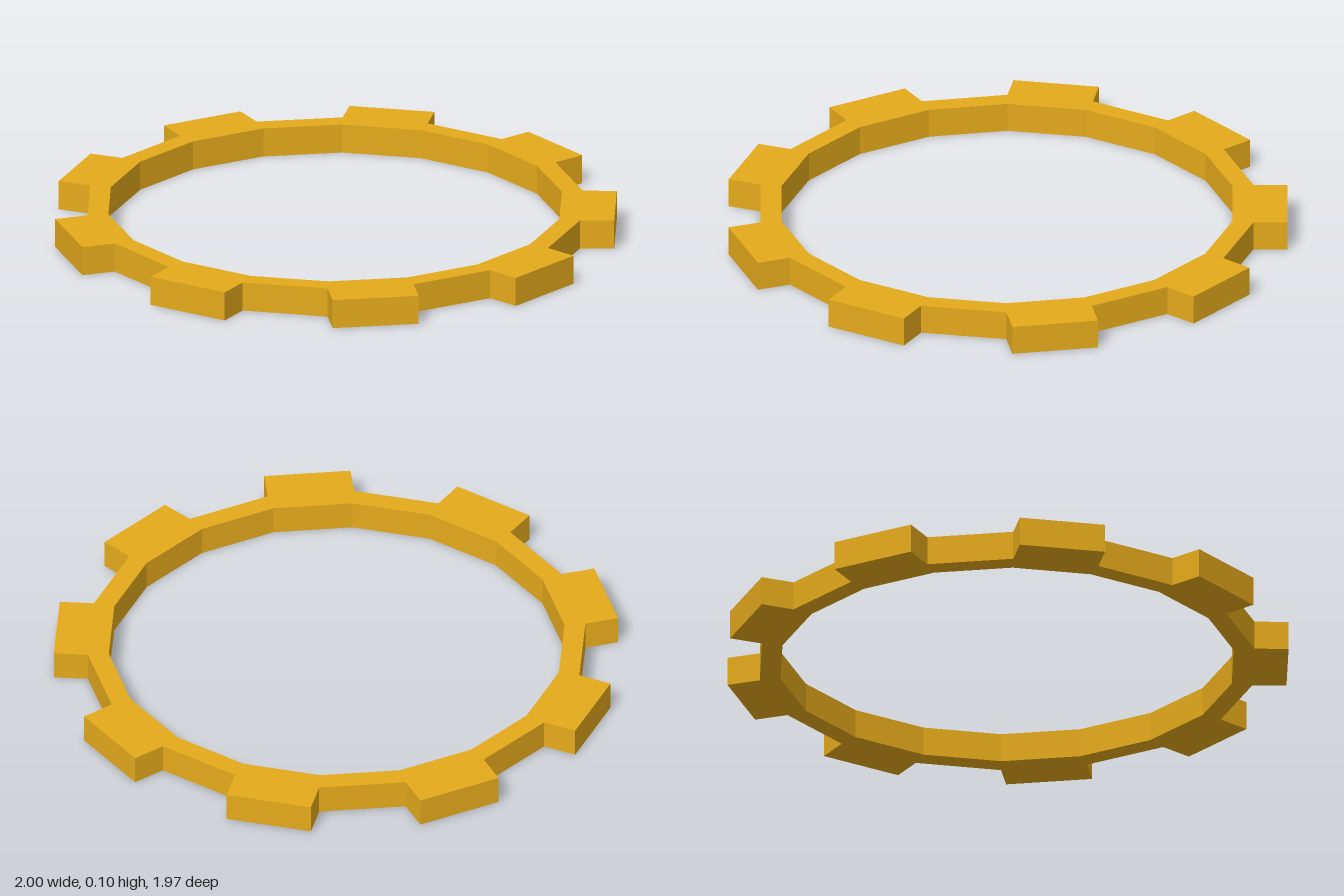
import * as THREE from 'three';

const TEETH = 9;
const HALF_TOOTH = 0.153;  // half the width of a tooth
const TIP = 0.988;         // distance from the axis to a tooth's flat tip
const HOLE_RADIUS = 0.807;
const HEIGHT = 0.105;

export function createModel() {
  const group = new THREE.Group();
  group.name = 'gearRing';

  const halfAngle = Math.PI / (2 * TEETH);
  const root = HALF_TOOTH / Math.tan(halfAngle); // flat distance of the ring's outer wall
  const origin = new THREE.Vector2();
  const outline = [];
  const hole = [];

  // each tooth is a straight-sided block on every second side of an 18-sided ring
  for (let i = 0; i < TEETH; i++) {
    const turn = i * 2 * Math.PI / TEETH;
    const place = (x, y) => new THREE.Vector2(x, y).rotateAround(origin, turn);
    outline.push(
      place(HALF_TOOTH, root), place(HALF_TOOTH, TIP),
      place(-HALF_TOOTH, TIP), place(-HALF_TOOTH, root)
    );
    for (const side of [1, -1]) {
      const a = side * halfAngle;
      hole.push(place(HOLE_RADIUS * Math.sin(a), HOLE_RADIUS * Math.cos(a)));
    }
  }

  // the hole runs against the outline so its wall faces inward
  const shape = new THREE.Shape(outline);
  shape.holes.push(new THREE.Path(hole.reverse()));
  const geometry = new THREE.ExtrudeGeometry(shape, { depth: HEIGHT, bevelEnabled: false });
  geometry.rotateX(-Math.PI / 2);
  geometry.translate(0, 0, 0.0035); // odd tooth count: centre the overall depth

  const ring = new THREE.Mesh(
    geometry,
    new THREE.MeshStandardMaterial({ color: 0xe5aa1b, flatShading: true })
  );
  ring.name = 'toothedRing';
  group.add(ring);
  return group;
}
